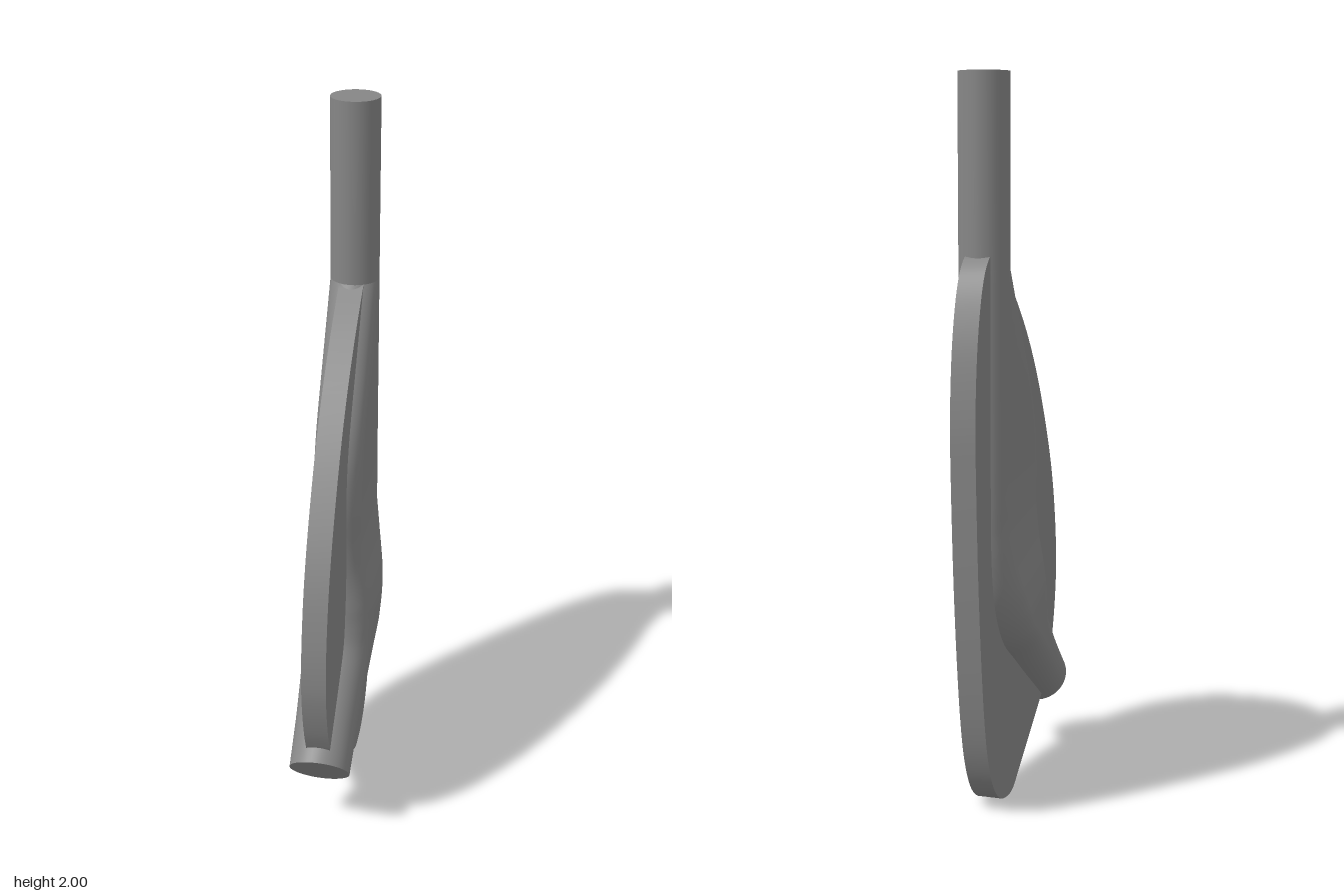
import * as THREE from 'three';
import { toCreasedNormals } from 'three/addons/utils/BufferGeometryUtils.js';

const material = new THREE.MeshStandardMaterial({ color: 0x868686 });

// Sections of the bent body: back z, back y, front z, front y, half width
const SECTIONS = [
  [0.285, 0.147, 0.391, 0.281, 0.086],
  [0.17, 0.225, 0.288, 0.373, 0.088],
  [0.05, 0.306, 0.205, 0.45, 0.093],
  [-0.06, 0.383, 0.15, 0.508, 0.098],
  [-0.155, 0.45, 0.13, 0.56, 0.103],
  [-0.215, 0.52, 0.12, 0.615, 0.103],
  [-0.255, 0.60, 0.112, 0.665, 0.096],
  [-0.278, 0.70, 0.108, 0.73, 0.081],
  [-0.286, 0.80, 0.109, 0.82, 0.069],
  [-0.288, 0.92, 0.112, 0.92, 0.068],
  [-0.288, 1.03, 0.1, 1.03, 0.068],
  [-0.288, 1.10, 0.078, 1.10, 0.068],
  [-0.288, 1.16, 0.05, 1.16, 0.068],
  [-0.288, 1.30, -0.034, 1.30, 0.068],
  [-0.288, 1.495, -0.152, 1.495, 0.068],
];

// Loop with semicircular ends, stretched between the back and front points
function sectionLoop(back, front, w, half = 20) {
  const centre = back.clone().add(front).multiplyScalar(0.5);
  const along = front.clone().sub(back);
  const len = along.length();
  along.normalize();
  const r = Math.min(w, len / 2);
  const loop = [];
  for (const end of [1, -1]) {
    for (let i = 0; i <= half; i++) {
      const a = -Math.PI / 2 + (Math.PI * i) / half;
      const u = end * (len / 2 - r + r * Math.cos(a));
      const p = centre.clone().addScaledVector(along, u);
      p.x = end * w * Math.sin(a);
      loop.push(p);
    }
  }
  return loop;
}

// Skin through all the section loops, with a flat cap on the first
function loft(loops) {
  const n = loops[0].length;
  const pos = [];
  const index = [];
  const add = (p) => pos.push(p.x, p.y, p.z);
  loops.forEach((loop) => loop.forEach(add));
  for (let i = 0; i < loops.length - 1; i++) {
    for (let j = 0; j < n; j++) {
      const a = i * n + j;
      const b = i * n + ((j + 1) % n);
      index.push(a, b, b + n, a, b + n, a + n);
    }
  }
  const base = pos.length / 3;
  loops[0].forEach(add);
  for (let j = 1; j < n - 1; j++) index.push(base, base + j + 1, base + j);
  const geo = new THREE.BufferGeometry();
  geo.setAttribute('position', new THREE.Float32BufferAttribute(pos, 3));
  geo.setIndex(index);
  geo.computeVertexNormals();
  return geo;
}

function bodyGeometry() {
  const backLine = new THREE.CatmullRomCurve3(SECTIONS.map((s) => new THREE.Vector3(0, s[1], s[0])));
  const frontLine = new THREE.CatmullRomCurve3(SECTIONS.map((s) => new THREE.Vector3(0, s[3], s[2])));
  const widths = SECTIONS.map((s) => s[4]);
  const steps = (SECTIONS.length - 1) * 4;
  const loops = [];
  for (let i = 0; i <= steps; i++) {
    const t = i / steps;
    const k = Math.min(Math.floor(i / 4), widths.length - 2);
    const w = THREE.MathUtils.lerp(widths[k], widths[k + 1], i / 4 - k);
    loops.push(sectionLoop(backLine.getPoint(t), frontLine.getPoint(t), w));
  }
  return loft(loops);
}

// Flat teardrop plate, drawn with z across and y up
function plateGeometry(thickness = 0.068) {
  const pts = (list) => list.map(([z, y]) => new THREE.Vector2(z, y));
  const shape = new THREE.Shape();
  shape.moveTo(-0.02, 0.028);
  shape.lineTo(0.25, 0.185);
  shape.lineTo(0.355, 0.30);
  shape.splineThru(pts([
    [0.383, 0.37], [0.405, 0.46], [0.413, 0.55], [0.402, 0.67], [0.365, 0.82],
    [0.3, 0.97], [0.2, 1.14], [0.09, 1.28], [-0.03, 1.395], [-0.16, 1.495],
  ]));
  shape.lineTo(-0.27, 1.53);
  shape.splineThru(pts([
    [-0.29, 1.525], [-0.33, 1.485], [-0.365, 1.41], [-0.395, 1.29], [-0.411, 1.13], [-0.409, 0.98],
    [-0.392, 0.7], [-0.365, 0.45], [-0.335, 0.27], [-0.3, 0.155], [-0.25, 0.07], [-0.18, 0.017],
    [-0.1, 0], [-0.055, 0.008], [-0.02, 0.028],
  ]));
  const geo = new THREE.ExtrudeGeometry(shape, { depth: thickness, bevelEnabled: false, curveSegments: 6 });
  geo.translate(0, 0, -thickness / 2);
  geo.rotateY(-Math.PI / 2);
  return toCreasedNormals(geo, 0.5);
}

export function createModel() {
  const group = new THREE.Group();
  const addPart = (name, geometry) => {
    const mesh = new THREE.Mesh(geometry, material);
    mesh.name = name;
    group.add(mesh);
    return mesh;
  };
  addPart('bentBody', bodyGeometry());
  addPart('flatPlate', plateGeometry());
  // Straight round neck, meeting the body at a sharp edge
  addPart('neck', new THREE.CylinderGeometry(0.068, 0.068, 0.505, 40)).position.set(0, 1.7475, -0.22);
  return group;
}
